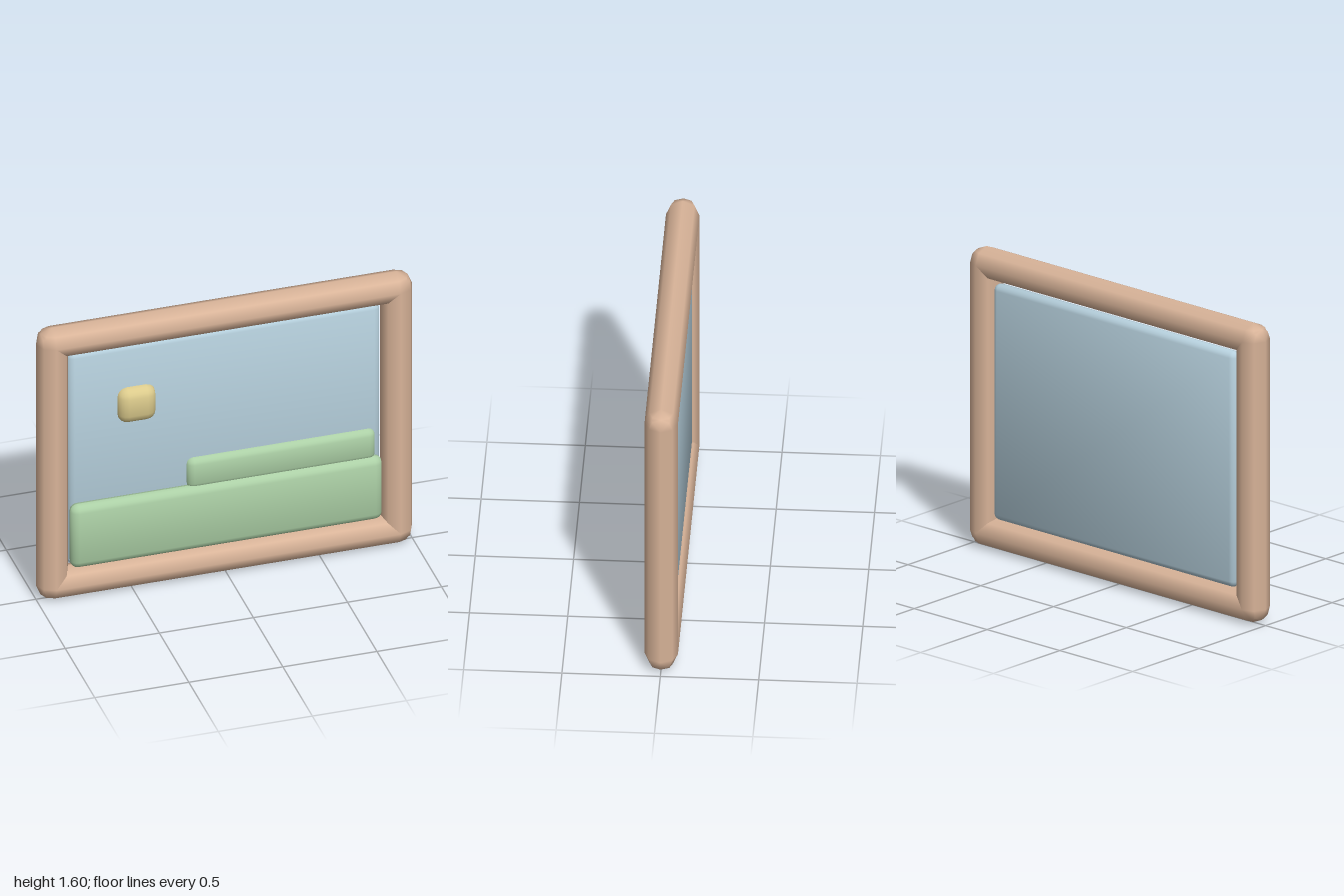
import * as THREE from 'three';
import { RoundedBoxGeometry } from 'three/addons/geometries/RoundedBoxGeometry.js';

const paint = (name, color) => {
  const m = new THREE.MeshStandardMaterial({ color });
  m.name = name;
  return m;
};

export function createModel() {
  const model = new THREE.Group();
  model.name = 'framedLandscape';
  const wood = paint('lightWood', 0xd9b499);
  const blue = paint('skyBlue', 0xb6d0dd);
  const green = paint('hillGreen', 0xacd0a6);
  const yellow = paint('sunYellow', 0xdccb8c);

  const add = (name, geometry, material, x, y, z) => {
    const mesh = new THREE.Mesh(geometry, material);
    mesh.name = name;
    mesh.position.set(x, y, z);
    model.add(mesh);
    return mesh;
  };

  // Rounded block whose normals lean outwards, so its flat faces shade softly
  const softBlock = (w, h, d, r) => {
    const g = new RoundedBoxGeometry(w, h, d, 2, r);
    const p = g.attributes.position, n = g.attributes.normal;
    const v = new THREE.Vector3();
    for (let i = 0; i < p.count; i++) {
      v.fromBufferAttribute(n, i);
      v.x += 0.25 * Math.sign(p.getX(i));
      v.y += 0.25 * Math.sign(p.getY(i));
      v.z += 0.25 * Math.sign(p.getZ(i));
      v.normalize();
      n.setXYZ(i, v.x, v.y, v.z);
    }
    return g;
  };

  // Frame: four eight-sided round bars crossing at the corners
  const R = 0.085, W = 2, H = 1.6;
  const bar = (length) => new THREE.CapsuleGeometry(R, length - 2 * R, 2, 8);
  for (const s of [-1, 1]) {
    add(s < 0 ? 'frameRight' : 'frameLeft', bar(H), wood, s * (W / 2 - R), H / 2, 0);
    const rail = add(s < 0 ? 'frameBottom' : 'frameTop', bar(W), wood, 0, H / 2 + s * (H / 2 - R), 0);
    rail.rotation.z = Math.PI / 2;
  }

  // Picture: sky panel set towards the back, two overlapping hills and a sun
  add('sky', softBlock(1.66, 1.26, 0.066, 0.033), blue, 0, 0.8, -0.022);
  add('frontHill', softBlock(1.655, 0.37, 0.08, 0.04), green, 0, 0.36, 0.028);
  add('backHill', softBlock(1, 0.18, 0.07, 0.035), green, 0.297, 0.61, 0.006);
  add('sun', softBlock(0.2, 0.2, 0.1, 0.05), yellow, -0.47, 1.08, 0.01);

  return model;
}
